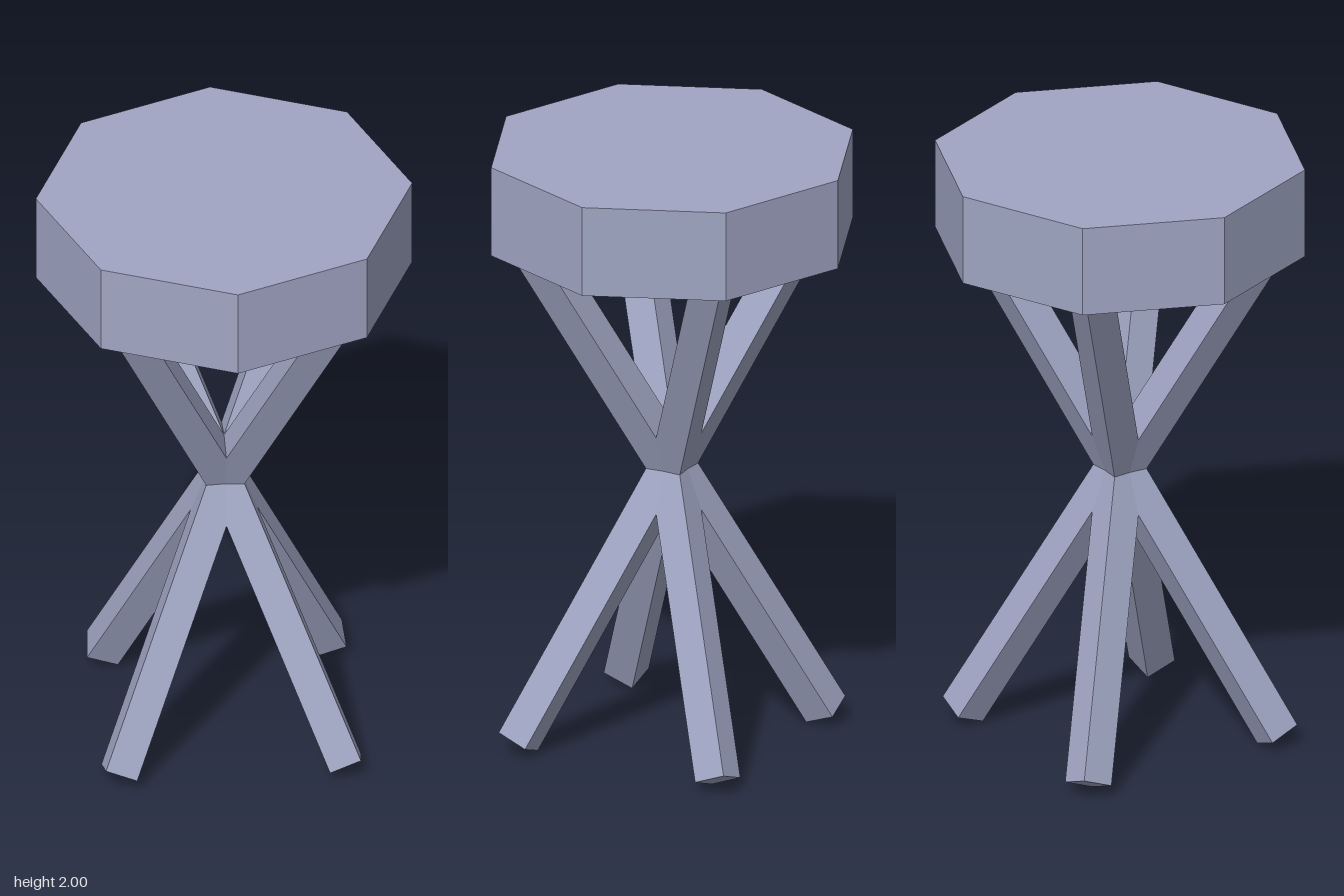
import * as THREE from 'three';

export function createModel() {
  const model = new THREE.Group();
  model.name = 'stool';

  const paint = new THREE.MeshStandardMaterial({ color: 0xa0a5c3, flatShading: true });
  paint.name = 'greyBlue';

  // Octagonal seat slab with corners facing front, back and sides
  const seat = new THREE.Mesh(new THREE.CylinderGeometry(0.6, 0.6, 0.3, 8), paint);
  seat.name = 'seat';
  seat.position.y = 1.85;
  model.add(seat);

  // Four square bars, turned edge-on, leaning 30 degrees and crossing at one point
  const legs = new THREE.Group();
  legs.name = 'legs';
  legs.position.y = 0.92;
  const bar = new THREE.CylinderGeometry(0.075, 0.075, 2.04, 4);
  for (let i = 0; i < 4; i++) {
    const leg = new THREE.Mesh(bar, paint);
    leg.name = `leg${i + 1}`;
    leg.rotation.set(0, (i * Math.PI) / 2, Math.PI / 6, 'YXZ');
    legs.add(leg);
  }
  model.add(legs);

  return model;
}
